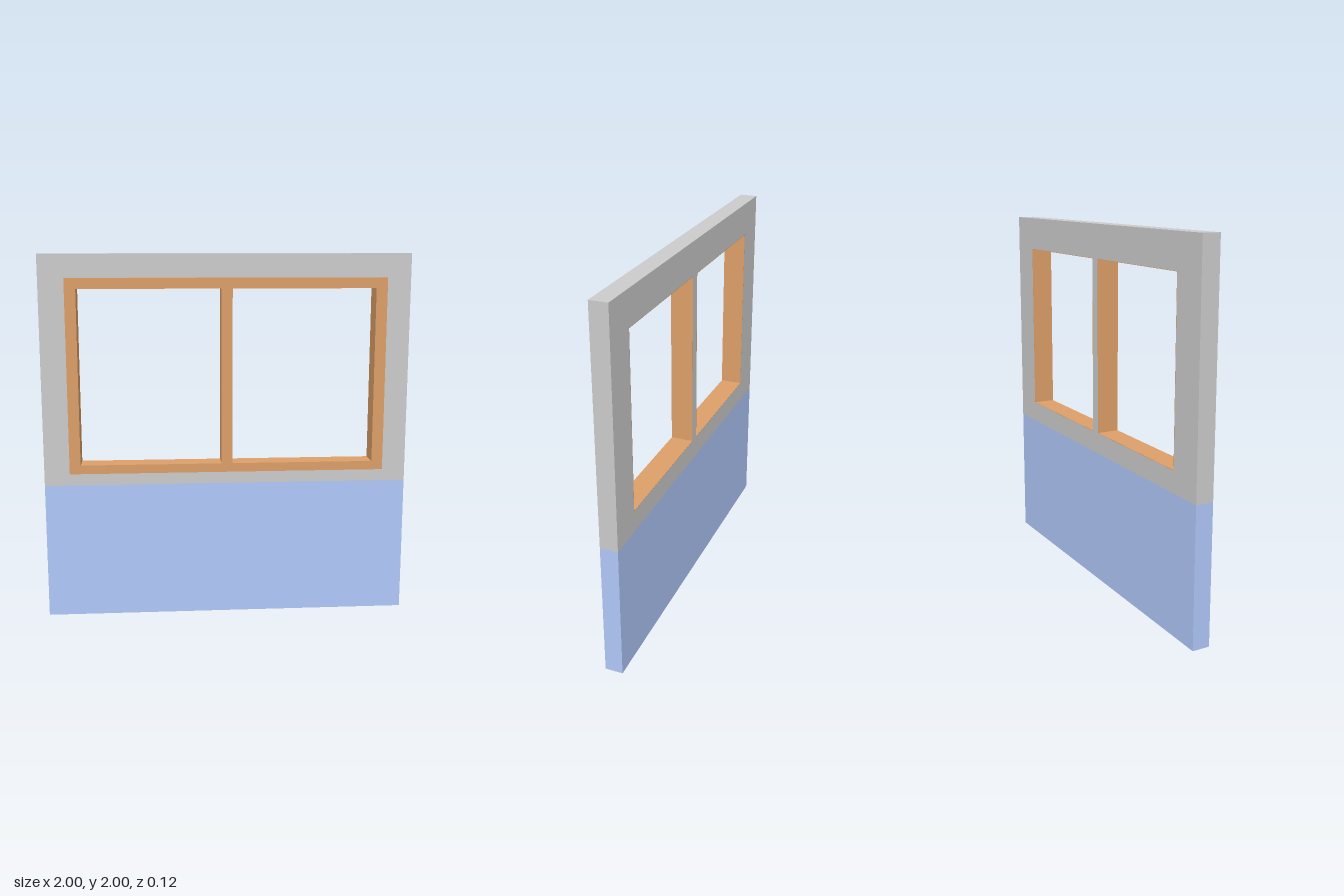
import * as THREE from 'three';

const BACK = -0.0615, FACE = 0.0345, FRONT = 0.0615; // wall back, wall face, trim face
const SPLIT = 0.747; // top of the painted lower wall
const LINING = 0.002; // thickness of the wooden lining in the openings
const BOTTOM = 0.865, TOP = 1.816;
const OPENINGS = [[-0.8, -0.03], [0.03, 0.806]];

const grey = new THREE.MeshStandardMaterial({ color: 0xcccccc });
const blue = new THREE.MeshStandardMaterial({ color: 0xb0c8fa });
const wood = new THREE.MeshStandardMaterial({ color: 0xdd9f68 });
grey.name = 'plaster';
blue.name = 'bluePaint';
wood.name = 'wood';

// Rectangle outline, usable as a shape or a hole
function rect(x0, y0, x1, y1, grow = 0) {
  return new THREE.Shape([
    new THREE.Vector2(x0 - grow, y0 - grow),
    new THREE.Vector2(x1 + grow, y0 - grow),
    new THREE.Vector2(x1 + grow, y1 + grow),
    new THREE.Vector2(x0 - grow, y1 + grow),
  ]);
}

// Flat panel between two depths, with optional holes
function panel(name, shape, holes, z0, z1, material) {
  shape.holes.push(...holes);
  const geometry = new THREE.ExtrudeGeometry(shape, { depth: z1 - z0, bevelEnabled: false });
  geometry.translate(0, 0, z0);
  const mesh = new THREE.Mesh(geometry, material);
  mesh.name = name;
  return mesh;
}

export function createModel() {
  const model = new THREE.Group();
  model.name = 'windowWall';
  const openings = (grow) => OPENINGS.map(([x0, x1]) => rect(x0, BOTTOM, x1, TOP, grow));

  // Wall: painted lower half and plain upper half with two openings
  model.add(panel('lowerWall', rect(-1, 0, 1, SPLIT), [], BACK, FACE, blue));
  model.add(panel('upperWall', rect(-1, SPLIT, 1, 2), openings(LINING), BACK, FACE, grey));

  // Raised wooden trim around both openings, with the centre mullion
  model.add(panel('windowTrim', rect(-0.86, 0.817, 0.867, 1.873), openings(0), FACE, FRONT, wood));

  // Wooden lining through the thickness of the wall
  OPENINGS.forEach(([x0, x1], i) => {
    const outer = rect(x0, BOTTOM, x1, TOP, LINING);
    const hole = rect(x0, BOTTOM, x1, TOP);
    model.add(panel(i ? 'leftLining' : 'rightLining', outer, [hole], BACK, FACE, wood));
  });

  return model;
}
